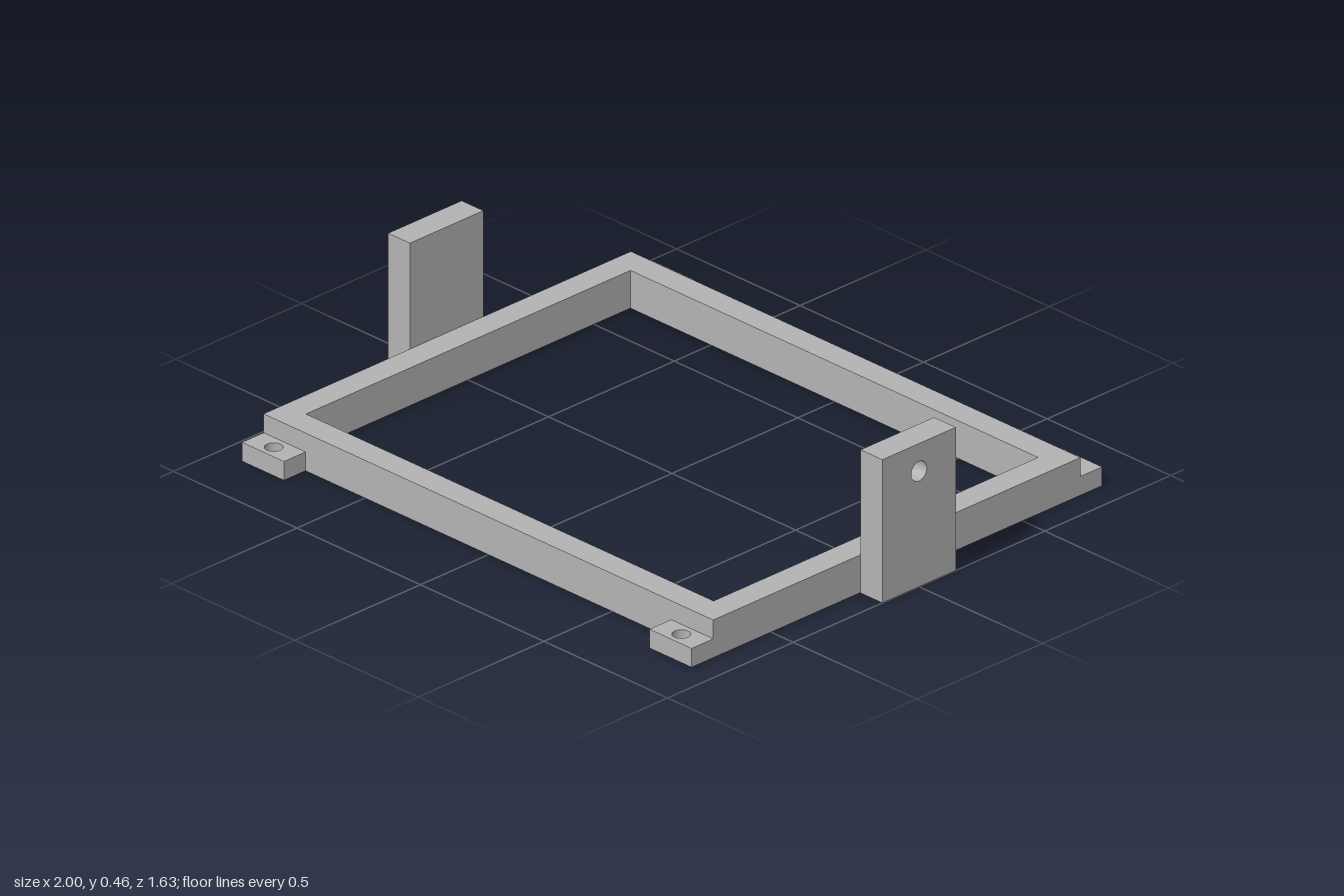
import * as THREE from 'three';

const grey = new THREE.MeshStandardMaterial({ color: 0xb2b2b2 });
grey.name = 'grey';

// Rectangle between two corners, wound either way as a shape or a hole
function rect(x0, y0, x1, y1, Type = THREE.Shape) {
  const p = new Type();
  p.moveTo(x0, y0);
  p.lineTo(x1, y0);
  p.lineTo(x1, y1);
  p.lineTo(x0, y1);
  p.closePath();
  return p;
}

function roundHole(x, y, r) {
  return new THREE.Path().absarc(x, y, r, 0, Math.PI * 2, true);
}

function extrude(shape, depth) {
  return new THREE.ExtrudeGeometry(shape, { depth, bevelEnabled: false, curveSegments: 32 });
}

function mesh(name, geometry) {
  const m = new THREE.Mesh(geometry, grey);
  m.name = name;
  return m;
}

export function createModel() {
  const model = new THREE.Group();
  model.name = 'mountingFrame';

  // Open rectangular frame lying flat
  const frameShape = rect(-0.91, -0.73, 0.91, 0.73);
  frameShape.holes.push(rect(-0.825, -0.645, 0.825, 0.645, THREE.Path));
  model.add(mesh('frame', extrude(frameShape, 0.12).rotateX(-Math.PI / 2)));

  // Drilled screw tabs at the four corners
  for (const sx of [-1, 1]) {
    for (const sz of [-1, 1]) {
      const cx = sx * 0.825, cz = sz * 0.773;
      const tab = rect(cx - 0.085, cz - 0.043, cx + 0.085, cz + 0.043);
      tab.holes.push(roundHole(cx, cz, 0.027));
      model.add(mesh('screwTab', extrude(tab, 0.06).rotateX(-Math.PI / 2)));
    }
  }

  // Side uprights: a solid inner layer and an outer layer with a blind pivot hole
  const halfWidth = 0.146, height = 0.455, inner = 0.912, holeFloor = 0.945;
  for (const [name, turn] of [['leftUpright', 0], ['rightUpright', Math.PI]]) {
    const upright = new THREE.Group();
    upright.name = name;
    const outerShape = rect(-halfWidth, 0, halfWidth, height);
    outerShape.holes.push(roundHole(0, 0.367, 0.031));
    const back = extrude(rect(-halfWidth, 0, halfWidth, height), holeFloor - inner);
    const face = extrude(outerShape, 1 - holeFloor);
    upright.add(mesh('uprightBack', back.rotateY(Math.PI / 2).translate(inner, 0, 0)));
    upright.add(mesh('uprightDrilledFace', face.rotateY(Math.PI / 2).translate(holeFloor, 0, 0)));
    upright.rotation.y = turn;
    model.add(upright);
  }
  return model;
}
